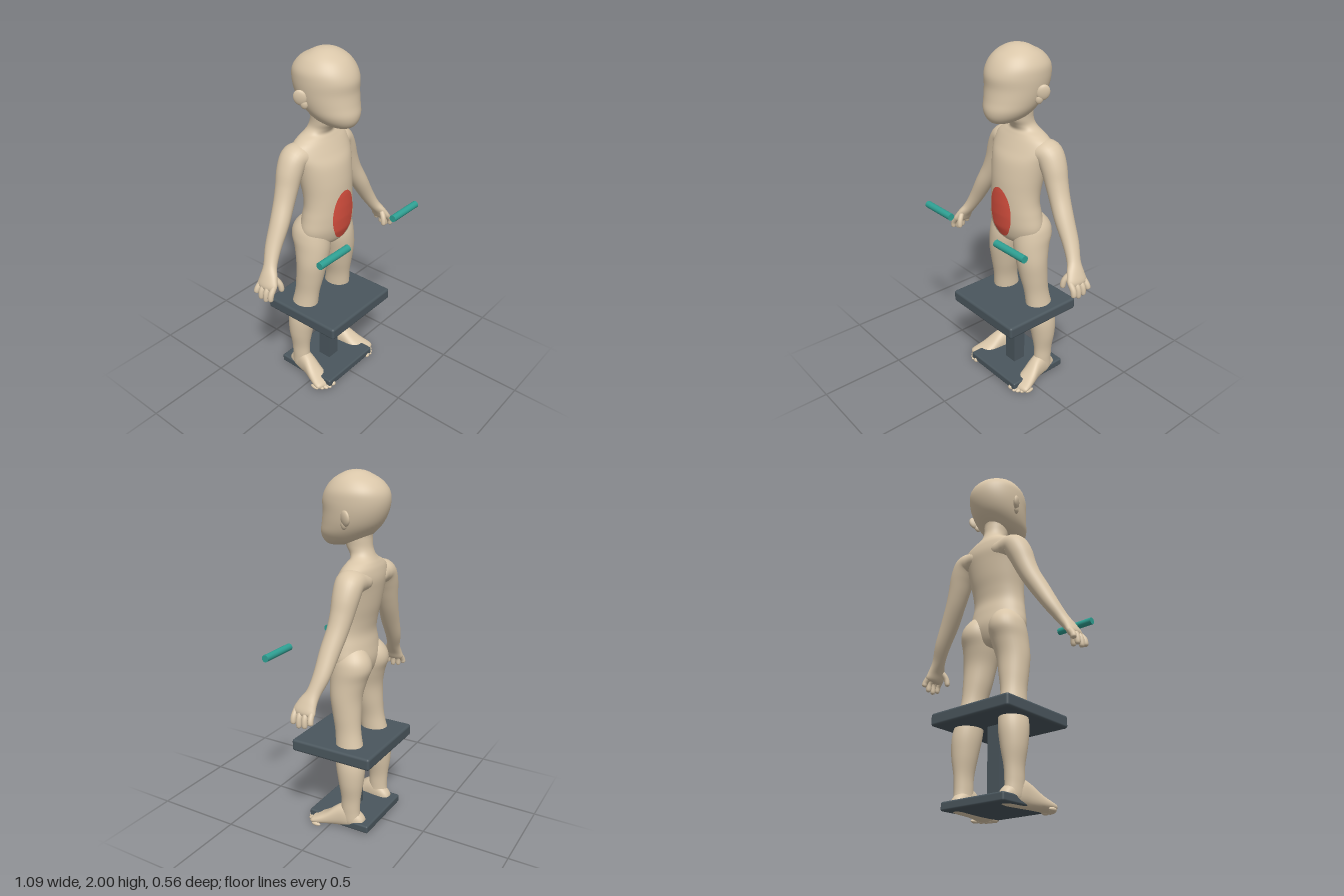
import * as THREE from 'three';
import { RoundedBoxGeometry } from 'three/addons/geometries/RoundedBoxGeometry.js';

const material = (name, color) => {
  const m = new THREE.MeshStandardMaterial({ color });
  m.name = name;
  return m;
};

// Smooth skin over cross-sections. Each row is [x, y, z, ru, rv]: centre and two radii.
// A fixed axis keeps all sections parallel; otherwise they follow the path.
function loft(rows, { axis = null, u = new THREE.Vector3(1, 0, 0), power = 2, steps = 5, sides = 32 } = {}) {
  const path = new THREE.CatmullRomCurve3(rows.map(r => new THREE.Vector3(r[0], r[1], r[2])), false, 'catmullrom');
  const radii = new THREE.CatmullRomCurve3(rows.map(r => new THREE.Vector3(r[3], r[4], 0)), false, 'catmullrom');
  const n = (rows.length - 1) * steps, pos = [], index = [];
  const round = c => Math.sign(c) * Math.pow(Math.abs(c), 2 / power);
  for (let i = 0; i <= n; i++) {
    const c = path.getPoint(i / n), r = radii.getPoint(i / n);
    const t = axis ? axis.clone() : path.getTangent(i / n);
    const a = u.clone().addScaledVector(t, -u.dot(t)).normalize();
    const b = new THREE.Vector3().crossVectors(t, a);
    for (let j = 0; j < sides; j++) {
      const w = (j / sides) * Math.PI * 2;
      const p = c.clone()
        .addScaledVector(a, Math.max(r.x, 0) * round(Math.cos(w)))
        .addScaledVector(b, Math.max(r.y, 0) * round(Math.sin(w)));
      pos.push(p.x, p.y, p.z);
      if (i < n) {
        const k = i * sides + j, l = i * sides + (j + 1) % sides;
        index.push(k, l, k + sides, l, l + sides, k + sides);
      }
    }
  }
  const g = new THREE.BufferGeometry();
  g.setAttribute('position', new THREE.Float32BufferAttribute(pos, 3));
  g.setIndex(index);
  g.computeVertexNormals();
  return g;
}

const Y = new THREE.Vector3(0, 1, 0), Z = new THREE.Vector3(0, 0, 1);

// [height, half width, front z, back z] to a loft row
const slice = ([y, w, f, b]) => [0, y, (f + b) / 2, w, (f - b) / 2];

const TORSO = [
  [0.885, 0, -0.06, -0.06], [0.893, 0.07, -0.01, -0.12], [0.93, 0.15, 0.037, -0.15], [1.0, 0.183, 0.062, -0.168],
  [1.08, 0.173, 0.071, -0.16], [1.15, 0.161, 0.074, -0.15], [1.22, 0.16, 0.074, -0.16], [1.3, 0.17, 0.068, -0.178],
  [1.39, 0.186, 0.05, -0.192], [1.45, 0.202, 0.02, -0.198], [1.5, 0.19, -0.007, -0.19], [1.53, 0.145, -0.024, -0.178],
  [1.55, 0.098, -0.033, -0.167], [1.575, 0.072, -0.022, -0.155], [1.61, 0.067, 0.0, -0.144], [1.66, 0.07, 0.01, -0.141],
  [1.72, 0.07, 0.01, -0.14], [1.74, 0, -0.06, -0.06]
].map(slice);

const HEAD = [
  [1.607, 0, 0.07, 0.07], [1.613, 0.053, 0.115, 0.0], [1.64, 0.097, 0.14, -0.095], [1.68, 0.127, 0.148, -0.148],
  [1.73, 0.145, 0.139, -0.194], [1.79, 0.156, 0.131, -0.224], [1.85, 0.16, 0.132, -0.236], [1.9, 0.154, 0.114, -0.226],
  [1.945, 0.126, 0.08, -0.188], [1.975, 0.089, 0.035, -0.135], [1.993, 0.047, -0.005, -0.095], [2.0, 0, -0.048, -0.048]
].map(slice);

const LEG = [
  [0.09, 1.1, -0.07, 0, 0], [0.09, 1.075, -0.075, 0.05, 0.06], [0.096, 1.02, -0.083, 0.088, 0.1],
  [0.1, 0.96, -0.082, 0.1, 0.113], [0.105, 0.89, -0.067, 0.099, 0.104],
  [0.119, 0.8, -0.06, 0.09, 0.091], [0.128, 0.7, -0.069, 0.078, 0.082], [0.138, 0.6, -0.082, 0.065, 0.075],
  [0.147, 0.5, -0.097, 0.068, 0.081], [0.159, 0.4, -0.11, 0.075, 0.085], [0.166, 0.3, -0.117, 0.066, 0.073],
  [0.168, 0.2, -0.118, 0.048, 0.058], [0.168, 0.12, -0.116, 0.045, 0.056], [0.166, 0.04, -0.118, 0.04, 0.055],
  [0.166, 0.03, -0.118, 0, 0]
];

const FOOT = [
  [0.158, 0.045, -0.202, 0, 0], [0.158, 0.046, -0.195, 0.026, 0.029], [0.16, 0.056, -0.165, 0.04, 0.05],
  [0.168, 0.076, -0.1, 0.046, 0.071], [0.177, 0.07, -0.045, 0.048, 0.065], [0.192, 0.045, 0.02, 0.056, 0.04],
  [0.203, 0.031, 0.07, 0.06, 0.026], [0.205, 0.024, 0.102, 0.054, 0.018], [0.205, 0.022, 0.118, 0, 0]
];

const ARM = [
  [0.05, 1.44, -0.1, 0, 0], [0.07, 1.443, -0.1, 0.085, 0.055], [0.135, 1.449, -0.108, 0.084, 0.065],
  [0.183, 1.441, -0.114, 0.079, 0.07], [0.22, 1.38, -0.114, 0.073, 0.068],
  [0.25, 1.3, -0.11, 0.064, 0.06], [0.285, 1.22, -0.103, 0.058, 0.054], [0.337, 1.125, -0.09, 0.055, 0.049],
  [0.4, 1.015, -0.08, 0.047, 0.04], [0.448, 0.932, -0.06, 0.04, 0.032], [0.482, 0.88, -0.043, 0.056, 0.028],
  [0.505, 0.835, -0.035, 0.062, 0.024], [0.511, 0.816, -0.035, 0, 0]
];

// Front surface of the torso at (x, y)
function torsoFront(x, y) {
  const i = TORSO.findIndex(r => r[1] >= y);
  const a = TORSO[i - 1], b = TORSO[i], t = (y - a[1]) / (b[1] - a[1]);
  const [z, w, d] = [2, 3, 4].map(k => THREE.MathUtils.lerp(a[k], b[k], t));
  return z + d * Math.sqrt(1 - (x / w) ** 2);
}

export function createModel() {
  const model = new THREE.Group();
  const skin = material('skin', 0xd9c6a9);
  const slate = material('slate', 0x4a565d);
  const teal = material('teal', 0x2fa093);
  const red = material('red', 0xd9503f);

  const add = (name, geometry, mat, x = 0, y = 0, z = 0, parent = model) => {
    const m = new THREE.Mesh(geometry, mat);
    m.name = name;
    m.position.set(x, y, z);
    parent.add(m);
    return m;
  };
  const blob = (name, p, s, parent) => {
    const m = add(name, new THREE.SphereGeometry(1, 24, 16), skin, ...p, parent);
    m.scale.set(...s);
    return m;
  };

  // Mannequin body
  add('torso', loft(TORSO, { axis: Y, sides: 48 }), skin);
  add('head', loft(HEAD, { axis: Y, sides: 48 }), skin);

  for (const s of [1, -1]) {
    const side = s > 0 ? 'left' : 'right';
    const mirror = rows => rows.map(([x, ...rest]) => [x * s, ...rest]);

    // Ear: upper shell and lobe, flaring out towards the back
    const ear = new THREE.Group();
    ear.name = side + 'Ear';
    ear.position.set(s * 0.162, 1.765, -0.075);
    ear.rotation.set(-0.2, -s * 0.45, -s * 0.12, 'YXZ');
    model.add(ear);
    blob('earShell', [0, 0.008, -0.003], [0.015, 0.042, 0.036], ear);
    blob('earLobe', [0, -0.03, 0.008], [0.013, 0.026, 0.02], ear);

    add(side + 'Leg', loft(mirror(LEG), { axis: Y.clone().negate() }), skin);

    // Foot with five toes
    const foot = new THREE.Group();
    foot.name = side + 'Foot';
    model.add(foot);
    add('footBody', loft(mirror(FOOT), { axis: Z, power: 2.3 }), skin, 0, 0, 0, foot);
    for (let i = 0; i < 5; i++) {
      const r = i ? 0.0145 - i * 0.0006 : 0.02;
      const x = i ? 0.178 + i * 0.0195 : 0.167;
      blob('toe', [s * x, r * 0.9, 0.122 - i * i * 0.0035], [r, r * 0.9, 0.029], foot);
    }

    // Arm flows into the palm, then fingers and thumb
    add(side + 'Arm', loft(mirror(ARM), { u: Z }), skin);
    const hand = new THREE.Group();
    hand.name = side + 'Hand';
    model.add(hand);
    const finger = (name, a, b, c, r) => add(name, loft(mirror([
      [...a, r, r], [...b, r, r], [...c, r * 0.85, r * 0.85],
      [c[0] + (c[0] - b[0]) * 0.25, c[1] + (c[1] - b[1]) * 0.25, c[2] + (c[2] - b[2]) * 0.25, 0, 0]
    ]), { u: Z, sides: 16 }), skin, 0, 0, 0, hand);
    [0.775, 0.762, 0.766, 0.785].forEach((tip, i) => {
      const z = 0.012 - i * 0.031;
      finger('finger', [0.498, 0.85, z], [0.524, 0.815, z * 1.08], [0.53, tip + 0.008, z * 1.12], 0.016);
    });
    finger('thumb', [0.472, 0.888, -0.012], [0.457, 0.85, 0.014], [0.452, 0.812, 0.021], 0.016);

    // Hand bar in front of the body
    const bar = add(side + 'HandBar', new THREE.CylinderGeometry(0.02, 0.02, 0.224, 24), teal, s * 0.309, 1.048, 0.26);
    bar.rotation.z = Math.PI / 2;
  }

  // Oval patch that follows the belly
  const patch = new THREE.RingGeometry(0, 1, 48, 12);
  const p = patch.attributes.position;
  for (let i = 0; i < p.count; i++) {
    const x = p.getX(i) * 0.083, y = 1.095 + p.getY(i) * 0.15;
    p.setXYZ(i, x, y, torsoFront(x, y) + 0.008);
  }
  patch.computeVertexNormals();
  add('bellyPatch', patch, red);

  // Stool
  add('seat', new RoundedBoxGeometry(0.526, 0.07, 0.497, 3, 0.014), slate, 0, 0.485, -0.032);
  add('post', new THREE.BoxGeometry(0.08, 0.41, 0.08), slate, 0, 0.25, -0.042);
  add('base', new RoundedBoxGeometry(0.41, 0.046, 0.385, 3, 0.01), slate, 0, 0.036, -0.052);

  return model;
}
